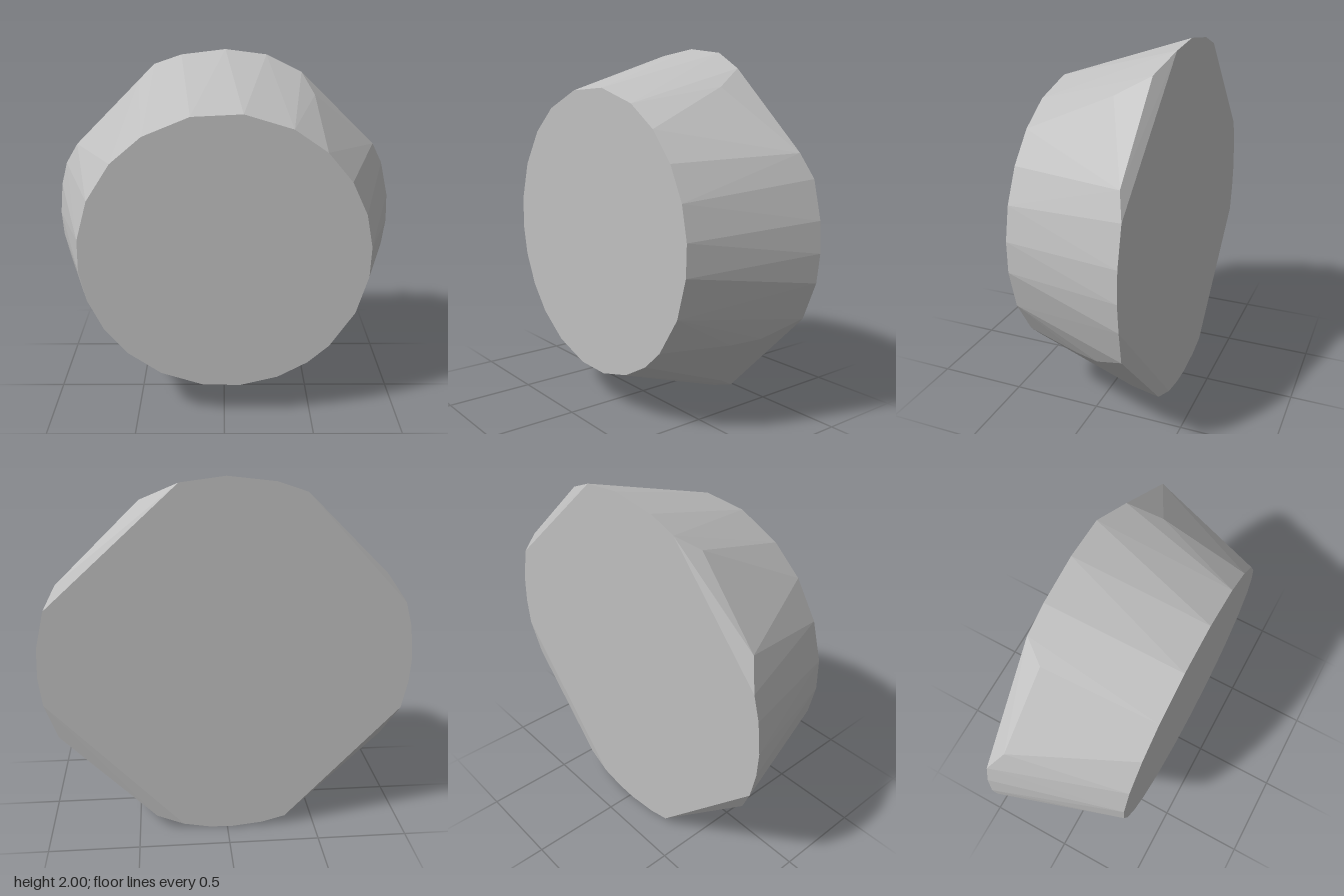
import * as THREE from 'three';
import { ConvexGeometry } from 'three/addons/geometries/ConvexGeometry.js';

const HALF_DEPTH = 0.345;

// Point on the tapered side wall: radius shrinks from 1.0 (back) to 0.785 (front)
function wallPoint(degrees, z) {
  const a = THREE.MathUtils.degToRad(degrees);
  const r = 0.8925 - 0.3116 * z;
  return new THREE.Vector3(r * Math.cos(a), 1 + r * Math.sin(a), z);
}

export function createModel() {
  const group = new THREE.Group();
  group.name = 'taperedDisc';

  const grey = new THREE.MeshStandardMaterial({ color: 0xbfbfbf, flatShading: true });
  grey.name = 'plainGrey';

  // Small round front face
  const frontRim = [5, 18.5, 33, 48, 63.5, 83, 102.5, 122, 138, 155.5, 172, 185, 198,
    212.5, 226.5, 243, 261, 276.5, 292.5, 306.5, 318, 336, 352.5];

  // Wide back face, with gaps where its four corners are cut off
  const backRim = [358, 7.5, 19.5, 76, 89.5, 104, 113.5, 160.5, 168.5, 179, 187, 196,
    250.7, 258.5, 269, 276, 284.5, 349];

  // Ends of the flat corner cuts: angle, z
  const cornerCuts = [
    [27.7, -0.31], [63.5, -0.295], [57.5, -0.12],
    [119.7, -0.24], [151.3, -0.27],
    [207.6, -0.29], [241, -0.25],
    [293.7, -0.335], [298.7, -0.2], [324.8, 0], [328.5, -0.15], [337, -0.33],
  ];

  const points = [
    ...frontRim.map((a) => wallPoint(a, HALF_DEPTH)),
    ...backRim.map((a) => wallPoint(a, -HALF_DEPTH)),
    ...cornerCuts.map(([a, z]) => wallPoint(a, z)),
  ];

  const body = new THREE.Mesh(new ConvexGeometry(points), grey);
  body.name = 'body';
  group.add(body);
  return group;
}
